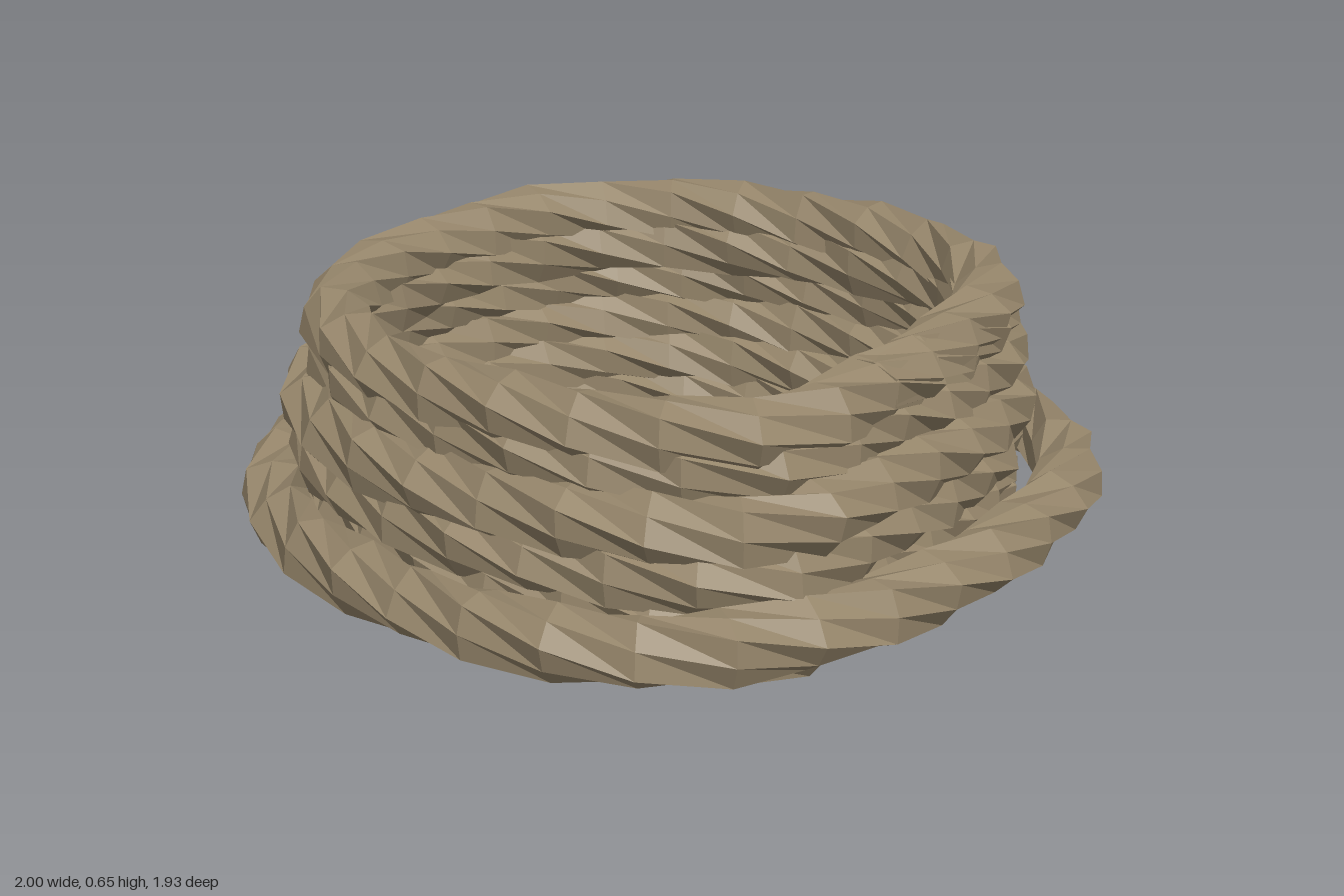
import * as THREE from 'three';

// Loose outer turn, from the free tail round the front, left and back: [x, y, z]
const OUTER = [
  [0.87, 0.14, -0.7], [0.89, 0.148, -0.45], [0.915, 0.155, -0.1], [0.905, 0.155, 0.22],
  [0.81, 0.155, 0.52], [0.61, 0.155, 0.75], [0.3, 0.155, 0.85], [-0.05, 0.155, 0.88],
  [-0.4, 0.155, 0.84], [-0.72, 0.155, 0.68], [-0.88, 0.155, 0.4], [-0.915, 0.155, 0.05],
  [-0.86, 0.155, -0.32], [-0.67, 0.155, -0.64], [-0.33, 0.155, -0.84], [0.05, 0.155, -0.88],
  [0.42, 0.145, -0.77], [0.67, 0.11, -0.48],
];

// Plan of one stacked turn, [x, z], same direction, with a kink at the front
const TURN = [
  [0.755, 0], [0.725, 0.3], [0.56, 0.54], [0.2, 0.665], [-0.15, 0.71], [-0.46, 0.705],
  [-0.645, 0.48], [-0.74, 0.1], [-0.715, -0.25], [-0.56, -0.54], [-0.28, -0.69],
  [0.05, -0.735], [0.4, -0.655], [0.655, -0.385],
];

// Height and scale of each stacked turn
const LEVELS = [[0.078, 1], [0.17, 1], [0.265, 1.04], [0.38, 1.065], [0.49, 0.98], [0.57, 0.99]];

const LOBES = 4, PITCH = 1.9, TOP = 0.65;

function ropePath() {
  const pts = OUTER.map(p => new THREE.Vector3(...p));
  LEVELS.forEach(([y, s], k) => {
    const [y0, s0] = LEVELS[Math.max(0, k - 1)];
    TURN.forEach(([x, z], i) => {
      // climb from the turn below over the front right kink
      const t = Math.min(1, i / 4), scale = THREE.MathUtils.lerp(s0, s, t);
      pts.push(new THREE.Vector3(x * scale, THREE.MathUtils.lerp(y0, y, t), z * scale));
    });
  });
  // close the top turn over the last climb
  const [yTop, sTop] = LEVELS[LEVELS.length - 1];
  for (const [x, z] of TURN.slice(0, 5)) pts.push(new THREE.Vector3(x * sTop, yTop, z * sTop));
  const curve = new THREE.CatmullRomCurve3(pts, false, 'centripetal');
  curve.arcLengthDivisions = 2400;
  return curve;
}

// Twisting tube along the path between two lengths; ring(s) gives the
// distance of its axis from the path and the radius of each side
function twistedTube(curve, from, to, segments, sides, phase, ring) {
  const pos = [], idx = [], centres = [];
  const length = curve.getLength(), up = new THREE.Vector3(0, 1, 0);
  for (let i = 0; i <= segments; i++) {
    const s = from + (to - from) * i / segments, u = Math.min(1, s / length);
    const T = curve.getTangentAt(u);
    const N = new THREE.Vector3().crossVectors(up, T).normalize();
    const U = new THREE.Vector3().crossVectors(T, N);
    const around = (p, a, r) => p.clone().addScaledVector(N, Math.cos(a) * r).addScaledVector(U, Math.sin(a) * r);
    const a = phase + (s / PITCH) * Math.PI * 2;
    const { offset, radius } = ring(s);
    const c = around(curve.getPointAt(u), a, offset);
    centres.push(c);
    for (let j = 0; j < sides; j++) {
      const v = around(c, a + (j / sides) * Math.PI * 2, radius(j));
      // the coil is pressed flat on top and underneath
      pos.push(v.x, THREE.MathUtils.clamp(v.y, 0, TOP), v.z);
    }
  }
  for (let i = 0; i < segments; i++) {
    for (let j = 0; j < sides; j++) {
      const k = (j + 1) % sides, a = i * sides, b = a + sides;
      idx.push(a + j, a + k, b + k, a + j, b + k, b + j);
    }
  }
  // end caps
  const first = pos.length / 3, last = segments * sides;
  for (const c of [centres[0], centres[segments]]) pos.push(c.x, c.y, c.z);
  for (let j = 0; j < sides; j++) {
    const k = (j + 1) % sides;
    idx.push(first, k, j, first + 1, last + j, last + k);
  }
  const g = new THREE.BufferGeometry();
  g.setAttribute('position', new THREE.Float32BufferAttribute(pos, 3));
  g.setIndex(idx);
  const flat = g.toNonIndexed();
  flat.computeVertexNormals();
  return flat;
}

export function createModel() {
  const group = new THREE.Group();
  group.name = 'ropeCoil';
  const hemp = new THREE.MeshStandardMaterial({ color: 0x95856a });
  hemp.name = 'hemp';
  const curve = ropePath();

  // laid rope with shallow grooves
  const body = new THREE.Mesh(twistedTube(curve, 0.28, curve.getLength(), 200, LOBES * 2, 0.6,
    () => ({ offset: 0, radius: j => (j % 2 ? 0.076 : 0.087) })), hemp);
  body.name = 'ropeBody';
  group.add(body);

  // frayed strands at the free end
  for (let n = 0; n < LOBES; n++) {
    const strand = new THREE.Mesh(twistedTube(curve, 0, 0.45, 4, 6, 0.6 + (n / LOBES) * Math.PI * 2, s => {
      const fray = Math.max(0, 1 - s / 0.4);
      return { offset: 0.036 + 0.016 * fray, radius: () => 0.044 - 0.012 * fray };
    }), hemp);
    strand.name = 'tailStrand' + (n + 1);
    group.add(strand);
  }
  return group;
}
